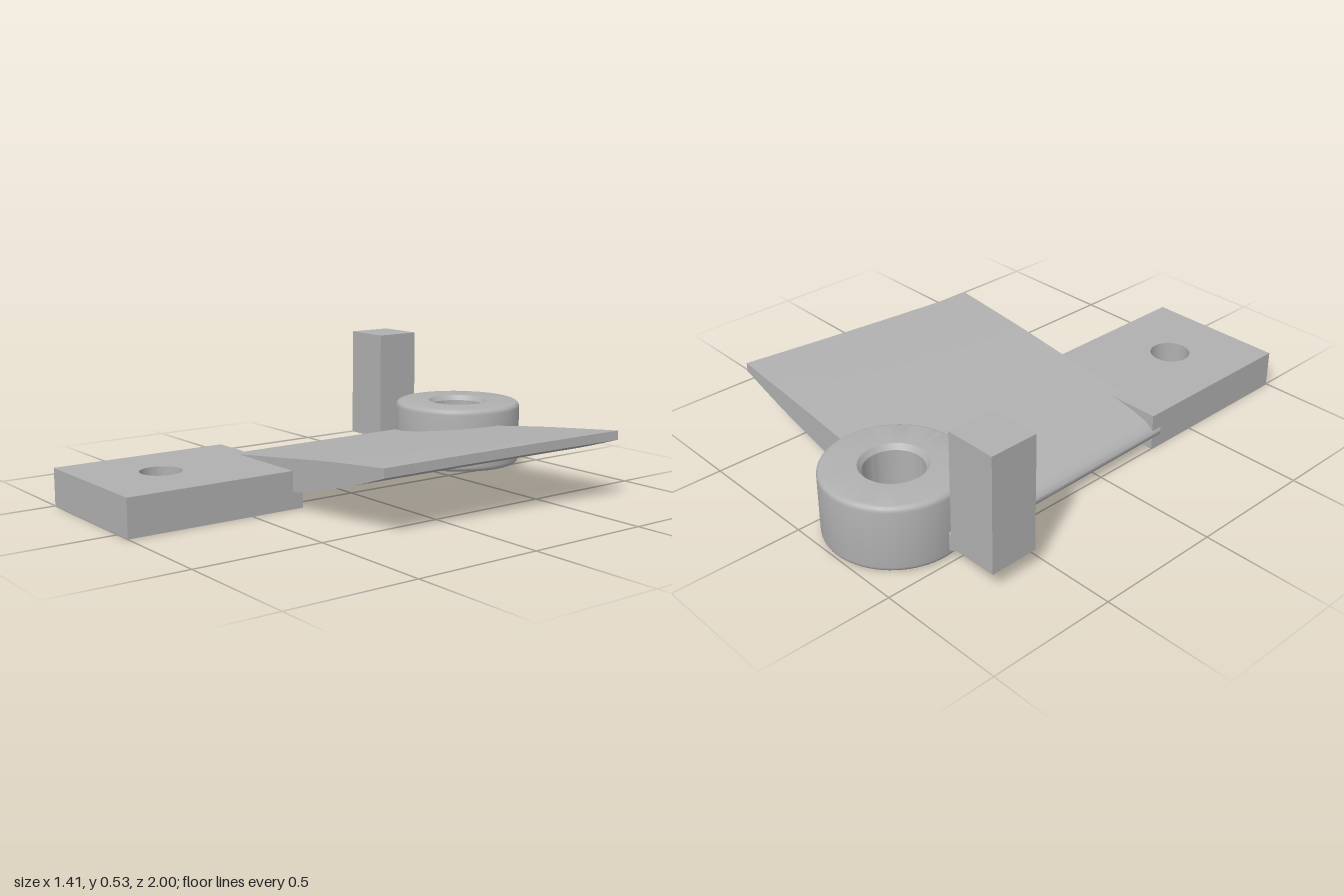
import * as THREE from 'three';
import { toCreasedNormals } from 'three/addons/utils/BufferGeometryUtils.js';

const RING = { x: -0.215, z: -0.735 };
const BACK = -0.72, FRONT = 0.325;

// Blade section stations: x, underside y, upper y
const SECTION = [
  [-0.504, 0.055, 0.072], [-0.49, 0.04, 0.09], [-0.45, 0.028, 0.112], [-0.35, 0.021, 0.136],
  [-0.25, 0.022, 0.15], [-0.1, 0.035, 0.169], [0.075, 0.064, 0.191], [0.25, 0.105, 0.213],
  [0.43, 0.155, 0.232], [0.61, 0.215, 0.25],
];

function bladeGeometry() {
  const n = 90, m = 10;
  const curve = (k) => new THREE.SplineCurve(SECTION.map((s) => new THREE.Vector2(s[0], s[k])));
  const surface = (c) => {
    const grid = [];
    for (let i = 0; i <= n; i++) {
      const p = c.getPoint(i / n), dx = p.x - RING.x;
      // Back edge is notched inside the ring so that the bore stays open
      const notch = Math.abs(dx) < 0.19 ? RING.z + Math.sqrt(0.19 ** 2 - dx * dx) : BACK;
      const back = Math.max(BACK, notch);
      grid.push([]);
      for (let j = 0; j <= m; j++) {
        const z = back + ((FRONT - back) * j) / m;
        const s = (FRONT - z) / (FRONT - BACK);
        // The chord grows and the tail lifts towards the back
        const grow = dx > 0 ? 0.085 * s + 0.025 * s * s : 0.035 * s;
        const lift = dx > 0 ? (0.02 * s * dx) / 0.825 : 0;
        grid[i].push([RING.x + dx * (1 + grow), p.y + lift, z]);
      }
    }
    return grid;
  };
  const lo = surface(curve(1)), up = surface(curve(2));
  const pos = [];
  const quad = (a, b, c, d) => pos.push(...a, ...b, ...c, ...a, ...c, ...d);
  for (let i = 0; i < n; i++) {
    for (let j = 0; j < m; j++) {
      quad(up[i][j], up[i][j + 1], up[i + 1][j + 1], up[i + 1][j]);
      quad(lo[i][j], lo[i + 1][j], lo[i + 1][j + 1], lo[i][j + 1]);
    }
    quad(lo[i][m], lo[i + 1][m], up[i + 1][m], up[i][m]);
    quad(lo[i][0], up[i][0], up[i + 1][0], lo[i + 1][0]);
  }
  // Leading and trailing edge strips
  for (let j = 0; j < m; j++) {
    quad(lo[0][j], lo[0][j + 1], up[0][j + 1], up[0][j]);
    quad(lo[n][j], up[n][j], up[n][j + 1], lo[n][j + 1]);
  }
  const g = new THREE.BufferGeometry();
  g.setAttribute('position', new THREE.Float32BufferAttribute(pos, 3));
  return toCreasedNormals(g, 0.8);
}

function ringGeometry() {
  const R = 0.263, H = 0.262, f = 0.022;
  const pts = [];
  const arc = (cy, a0) => {
    for (let k = 0; k <= 5; k++) {
      const a = a0 + (k / 5) * (Math.PI / 2);
      pts.push(new THREE.Vector2(R - f + f * Math.cos(a), cy + f * Math.sin(a)));
    }
  };
  arc(f, -Math.PI / 2);
  arc(H - f, 0);
  // Chamfered bore, back down to the start
  for (const [r, y] of [[0.125, H], [0.11, H - 0.02], [0.11, 0.02], [0.125, 0], [R - f, 0]]) {
    pts.push(new THREE.Vector2(r, y));
  }
  return toCreasedNormals(new THREE.LatheGeometry(pts, 72), 0.5);
}

function tabGeometry() {
  // Drawn in x and -z, extruded upward
  const s = new THREE.Shape();
  s.moveTo(-0.5, -1).lineTo(0.075, -1).lineTo(0.075, -0.28).lineTo(-0.5, -0.28).closePath();
  s.holes.push(new THREE.Path().absarc(RING.x, -0.71, 0.079, 0, Math.PI * 2, true));
  const g = new THREE.ExtrudeGeometry(s, { depth: 0.145, bevelEnabled: false, curveSegments: 40 });
  return toCreasedNormals(g.rotateX(-Math.PI / 2), 0.5);
}

export function createModel() {
  const group = new THREE.Group();
  const grey = new THREE.MeshStandardMaterial({ color: 0xb0b0b0 });
  grey.name = 'plain grey';
  const add = (name, geometry, x = 0, y = 0, z = 0) => {
    const mesh = new THREE.Mesh(geometry, grey);
    mesh.name = name;
    mesh.position.set(x, y, z);
    group.add(mesh);
  };
  add('blade', bladeGeometry());
  add('pivotRing', ringGeometry(), RING.x, 0, RING.z);
  add('mountingTab', tabGeometry());
  add('uprightPost', new THREE.BoxGeometry(0.202, 0.455, 0.192), -0.609, 0.2975, -0.641);
  return group;
}
